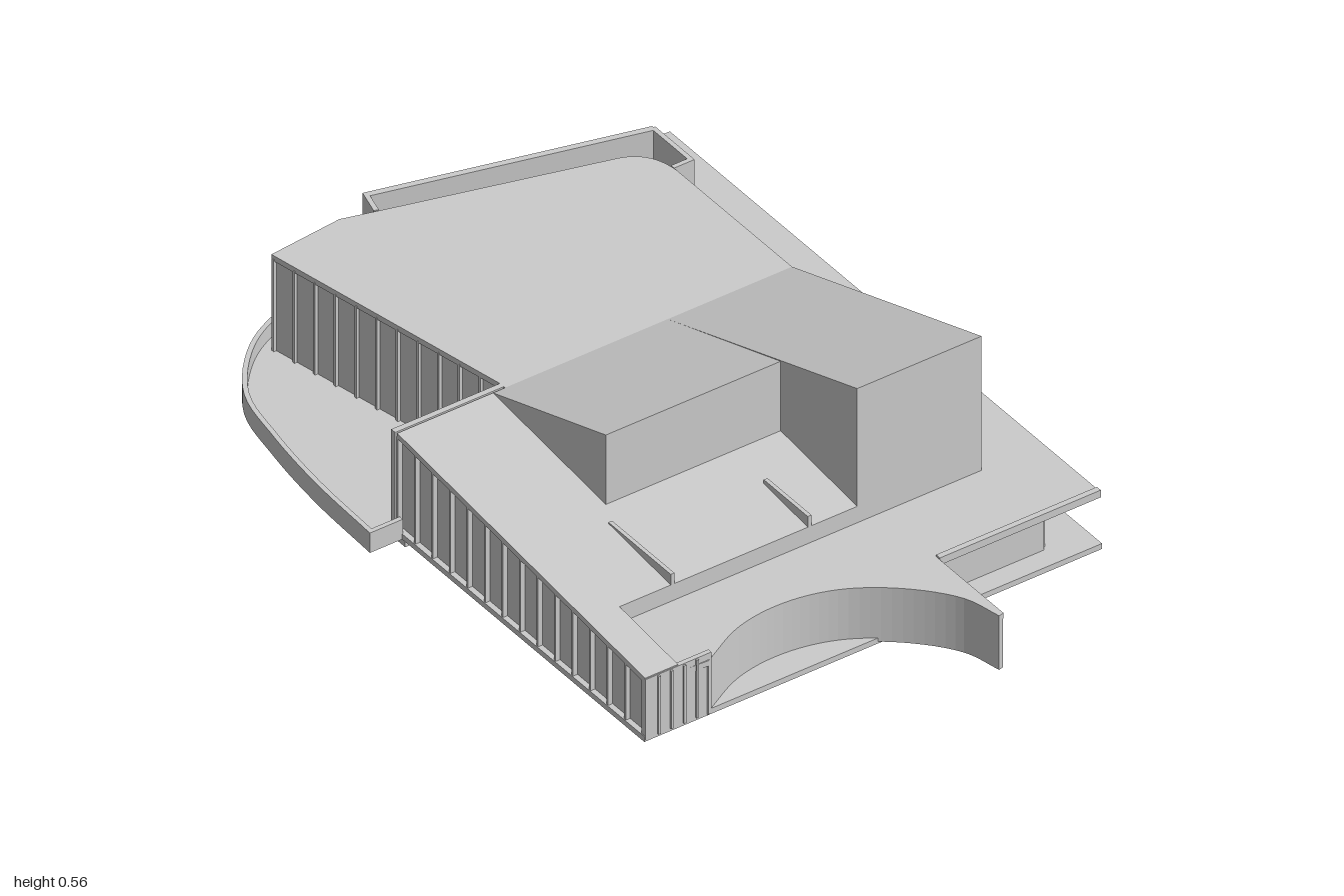
import * as THREE from 'three';

const mat = new THREE.MeshStandardMaterial({ color: 0xcccccc, side: THREE.DoubleSide, flatShading: true });
const FLOOR = 0.045, DECK = 0.185, ROOF = 0.31;
const slopeY = x => ROOF - (x + 0.2) * 0.109;   // falling roof height at x

export function createModel() {
  const model = new THREE.Group();
  const add = (name, geo, parent = model) => {
    const m = new THREE.Mesh(geo, mat);
    m.name = name;
    parent.add(m);
    return m;
  };
  const group = name => {
    const g = new THREE.Group();
    g.name = name;
    model.add(g);
    return g;
  };
  const toShape = pts => new THREE.Shape(pts.map(p => new THREE.Vector2(p[0], p[1])));
  // horizontal plate from plan points [x, z]
  const plate = (name, pts, y0, y1, hole, parent) => {
    const flip = a => a.map(([x, z]) => [x, -z]);
    const s = toShape(flip(pts));
    if (hole) s.holes.push(toShape(flip(hole)));
    const g = new THREE.ExtrudeGeometry(s, { depth: y1 - y0, bevelEnabled: false });
    g.rotateX(-Math.PI / 2).translate(0, y0, 0);
    return add(name, g, parent);
  };
  // upright slab from elevation points [x, y]
  const upright = (name, pts, z0, z1, parent) => {
    const g = new THREE.ExtrudeGeometry(toShape(pts), { depth: z1 - z0, bevelEnabled: false });
    return add(name, g.translate(0, 0, z0), parent);
  };
  const box = (name, x0, x1, y0, y1, z0, z1, parent) => {
    const g = new THREE.BoxGeometry(x1 - x0, y1 - y0, z1 - z0);
    return add(name, g.translate((x0 + x1) / 2, (y0 + y1) / 2, (z0 + z1) / 2), parent);
  };
  // straight wall between two plan points
  const wall = (name, [xa, za], [xb, zb], y0, y1, t = 0.012, parent) => {
    const g = new THREE.BoxGeometry(Math.hypot(xb - xa, zb - za), y1 - y0, t);
    g.rotateY(-Math.atan2(zb - za, xb - xa));
    return add(name, g.translate((xa + xb) / 2, (y0 + y1) / 2, (za + zb) / 2), parent);
  };
  const smooth = (pts, n) => new THREE.CatmullRomCurve3(pts.map(([x, z]) => new THREE.Vector3(x, 0, z)))
    .getPoints(n).map(p => [p.x, p.z]);
  // curved band following a plan curve, thickened to one side
  const band = (name, pts, y0, y1, t) => {
    const inner = pts.map(([x, z], i) => {
      const a = pts[Math.max(i - 1, 0)], b = pts[Math.min(i + 1, pts.length - 1)];
      const l = Math.hypot(b[0] - a[0], b[1] - a[1]);
      return [x + (b[1] - a[1]) / l * t, z - (b[0] - a[0]) / l * t];
    });
    return plate(name, [...pts, ...inner.reverse()], y0, y1);
  };

  // ground floor with curved terrace and an opening near the front
  const terrace = smooth([[-0.975, 0.12], [-1, 0.24], [-0.975, 0.36], [-0.91, 0.48], [-0.77, 0.595],
    [-0.6, 0.635], [-0.4, 0.66], [-0.18, 0.67]], 40);
  plate('floorSlab', [[-0.91, -0.67], [0.755, -0.67], [0.755, 0.58], [-0.18, 0.58],
    ...[...terrace].reverse(), [-0.81, -0.53], [-0.91, -0.53]], 0.03, FLOOR,
    [[-0.21, 0.34], [0.62, 0.46], [0.62, 0.565], [-0.21, 0.565]]);
  band('terraceParapet', terrace, 0.03, 0.085, 0.012);
  box('terraceEnd', -0.19, -0.178, 0.03, 0.085, 0.58, 0.67);
  box('foot', -0.21, -0.183, 0, 0.04, 0.54, 0.57);

  // low roof deck, with the hooked curved wall at its side
  const hook = smooth([[0.998, -0.216], [0.9, -0.19], [0.79, -0.1], [0.71, 0.02], [0.68, 0.15],
    [0.695, 0.28], [0.76, 0.41]], 36);
  plate('deck', [[-0.91, -0.67], [0.75, -0.67], [0.75, -0.23], [0.995, -0.23], ...hook,
    [0.755, 0.5], [0.52, 0.5], [0.52, -0.49], [-0.64, -0.49], [-0.64, -0.53], [-0.91, -0.53]], 0.17, DECK);
  band('curvedWall', hook, 0.035, DECK, -0.01);
  wall('hookBackWall', [0.75, -0.226], [0.995, -0.226], 0.035, DECK, 0.006);
  box('sideWall', 0.69, 0.7, FLOOR, 0.17, -0.55, -0.23);
  box('deckEdge', 0.735, 0.75, DECK, 0.19, -0.67, -0.23);

  // rear gallery between floor and deck
  const gallery = group('rearGallery');
  box('galleryWall', 0.065, 0.69, FLOOR, 0.17, -0.56, -0.548, gallery);
  box('galleryWall', -0.8, -0.3, FLOOR, 0.17, -0.56, -0.548, gallery);
  box('recessWall', -0.3, 0.065, FLOOR, 0.17, -0.42, -0.41, gallery);
  for (const x of [0.065, -0.12, -0.3])
    box('partition', x - 0.006, x + 0.006, FLOOR, 0.17, -0.64, -0.41, gallery);
  for (const x of [0.45, -0.64])
    box('pier', x - 0.02, x + 0.02, FLOOR, 0.17, -0.63, -0.55, gallery);

  // flat roof with rounded rear corner
  const corner = new THREE.QuadraticBezierCurve(new THREE.Vector2(-0.757, -0.42),
    new THREE.Vector2(-0.735, -0.495), new THREE.Vector2(-0.64, -0.5)).getPoints(10).map(p => [p.x, p.y]);
  plate('flatRoof', [[-0.91, 0.42], [-0.93, 0.22], [-0.905, 0.13], ...corner, [-0.2, -0.5],
    [-0.2, 0.285], [-0.22, 0.285]], ROOF - 0.015, ROOF);
  band('sideRoomWall', [[-0.915, 0.41], [-0.926, 0.22], [-0.9, 0.13], ...corner], FLOOR, ROOF - 0.015, -0.01);
  box('rearWall', -0.64, -0.2, DECK, ROOF - 0.015, -0.5, -0.49);

  // long screen wall along the side, with returned ends
  const screen = group('screenWall');
  wall('screen', [-0.972, 0.12], [-0.803, -0.55], 0.03, ROOF, 0.016, screen);
  wall('screenReturn', [-0.978, 0.115], [-0.91, 0.133], 0.03, ROOF, 0.012, screen);
  wall('screenReturn', [-0.806, -0.55], [-0.66, -0.55], DECK, ROOF, 0.012, screen);
  wall('screenReturn', [-0.66, -0.555], [-0.66, -0.5], DECK, ROOF, 0.012, screen);

  // falling roof and its lower front strip
  const slab = (a, b) => [[a, slopeY(a) - 0.015], [b, slopeY(b) - 0.015], [b, slopeY(b)], [a, slopeY(a)]];
  upright('slopedRoof', slab(-0.2, 0.53), -0.5, 0.58);
  upright('slopedRoofStrip', slab(0.53, 0.755), 0.49, 0.58);
  const under = (a, b, y) => [[a, y], [b, y], [b, slopeY(b) - 0.01], [a, slopeY(a) - 0.01]];
  upright('rearWall', under(-0.2, 0.53, DECK), -0.5, -0.49);
  upright('stripWall', under(0.53, 0.755, DECK - 0.01), 0.49, 0.498);
  box('roofStep', 0.52, 0.53, 0.17, slopeY(0.53) - 0.01, -0.5, 0.5);
  box('endWall', 0.745, 0.757, 0.035, 0.203, 0.4, 0.58);
  box('innerEndWall', -0.22, -0.205, 0.03, ROOF, 0.285, 0.582);

  // wedge-shaped roof lights rising from the crease
  upright('tallWedge', [[-0.2, ROOF], [-0.2, 0.3], [0.53, DECK], [0.53, 0.557]], -0.5, -0.16);
  upright('shortWedge', [[-0.2, ROOF], [-0.2, 0.3], [0.235, 0.25], [0.235, 0.455]], -0.16, 0.318);
  for (const [z, x] of [[-0.03, 0.36], [0.345, 0.29]])
    upright('roofFin', [[x, slopeY(x) - 0.005], [0.53, 0.228], [0.53, 0.26], [x, 0.26]], z - 0.005, z + 0.005);

  // glazed fronts with upright mullions
  const front = group('frontGlazing');
  upright('glass', under(-0.2, 0.755, 0.035), 0.562, 0.568, front);
  box('sill', -0.2, 0.755, 0.03, 0.045, 0.562, 0.582, front);
  for (let i = 0; i <= 14; i++) {
    const x = -0.2 + i * 0.0675;
    box('mullion', x - 0.003, x + 0.003, 0.04, slopeY(x) - 0.01, 0.56, 0.58, front);
  }
  for (const z of [0.44, 0.475, 0.51, 0.545])
    box('endMullion', 0.755, 0.762, 0.04, 0.2, z - 0.003, z + 0.003, front);
  const left = group('terraceGlazing');
  wall('glass', [-0.905, 0.41], [-0.22, 0.275], FLOOR, ROOF - 0.01, 0.006, left);
  for (let i = 0; i <= 11; i++) {
    const x = -0.905 + i * 0.0623, z = 0.414 - i * 0.0123;
    box('mullion', x - 0.004, x + 0.004, FLOOR, ROOF - 0.01, z - 0.012, z + 0.006, left);
  }
  return model;
}
